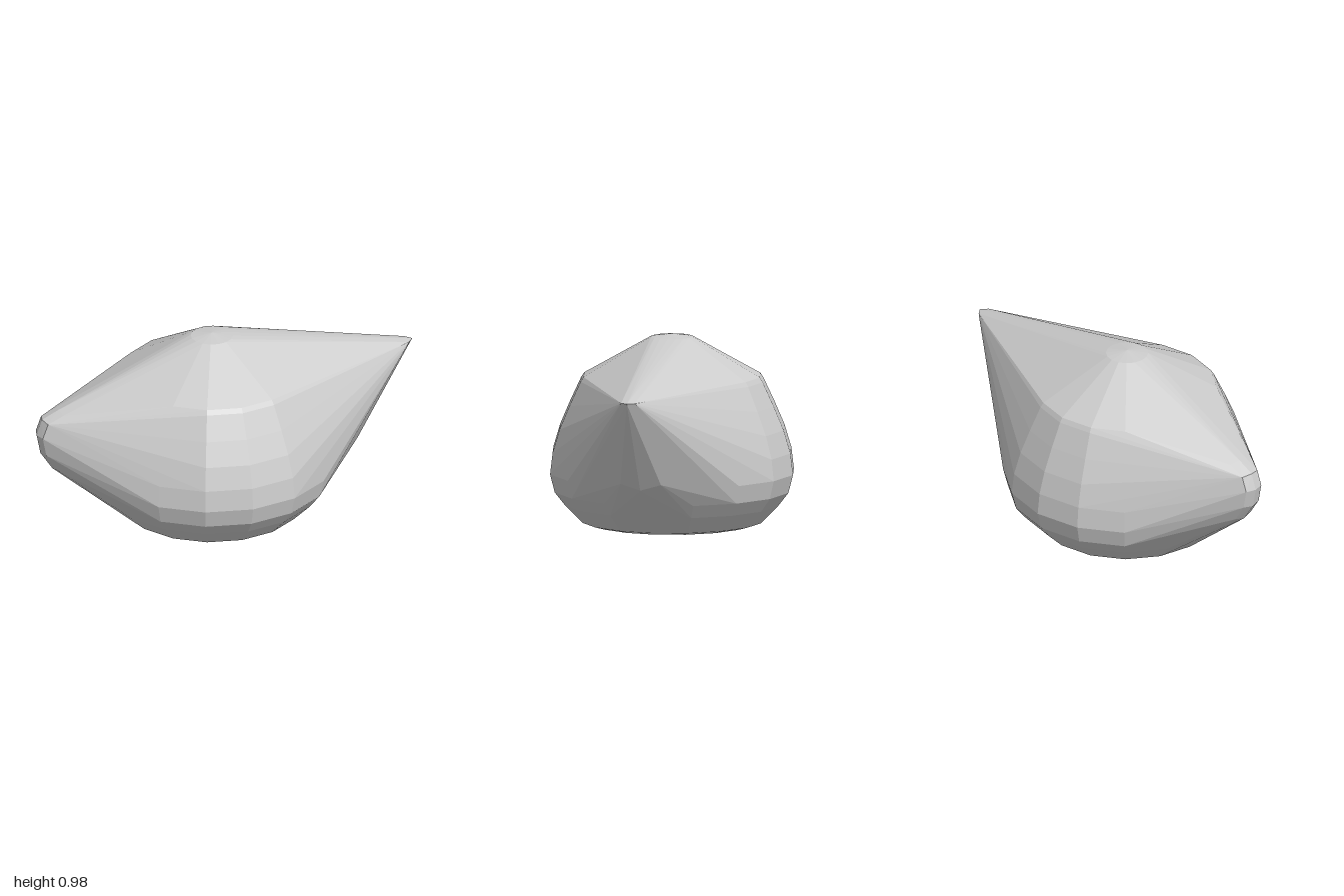
import * as THREE from 'three';
import { ConvexGeometry } from 'three/addons/geometries/ConvexGeometry.js';

// One faceted convex shell wrapped around a round vessel, its handle and its spout.
export function createModel() {
  const group = new THREE.Group();
  group.name = 'vesselHull';
  const points = [];
  const axisX = -0.067;

  // Round body, 16 sides: [radius, height] from base to lid knob
  const profile = [
    [0.26, 0.004], [0.399, 0.0145], [0.456, 0.03], [0.491, 0.073], [0.544, 0.119],
    [0.598, 0.188], [0.622, 0.28], [0.609, 0.389], [0.574, 0.505], [0.523, 0.624],
    [0.466, 0.746], [0.451, 0.769], [0.436, 0.777], [0.106, 0.965],
  ];
  const sides = 16;
  for (const [r, y] of profile) {
    for (let i = 0; i < sides; i++) {
      const a = (i / sides) * Math.PI * 2;
      points.push(new THREE.Vector3(axisX + r * Math.cos(a), y, r * Math.sin(a)));
    }
  }
  points.push(new THREE.Vector3(axisX, 0, 0), new THREE.Vector3(axisX, 0.98, 0));

  // Outer half of an oval tube section, mirrored in z
  const addSection = ([ox, oy, ix, iy, width]) => {
    for (const [f, w] of [[0, 0], [0.156, 0.5625], [0.5, 0.75]]) {
      const x = THREE.MathUtils.lerp(ox, ix, f);
      const y = THREE.MathUtils.lerp(oy, iy, f);
      for (const s of w ? [-1, 1] : [0]) points.push(new THREE.Vector3(x, y, s * w * width));
    }
  };

  // Handle sections: outer x, y, inner x, y, width
  [
    [-0.883, 0.682, -0.817, 0.621, 0.093],
    [-0.971, 0.641, -0.884, 0.6, 0.093],
    [-1.0, 0.56, -0.907, 0.56, 0.093],
    [-0.98, 0.457, -0.895, 0.499, 0.093],
    [-0.916, 0.36, -0.856, 0.429, 0.093],
  ].forEach(addSection);

  // Spout sections: underside, then the lip
  [
    [0.684, 0.287, 0.611, 0.477, 0.185],
    [0.96, 0.746, 0.773, 0.746, 0.078],
    [0.995, 0.763, 0.795, 0.757, 0.073],
    [1.0, 0.77, 0.82, 0.768, 0.062],
    [0.976, 0.765, 0.82, 0.76, 0.05],
  ].forEach(addSection);

  const hull = new THREE.Mesh(
    new ConvexGeometry(points),
    new THREE.MeshStandardMaterial({ color: 0xcccccc, flatShading: true })
  );
  hull.name = 'hull';
  group.add(hull);
  return group;
}
